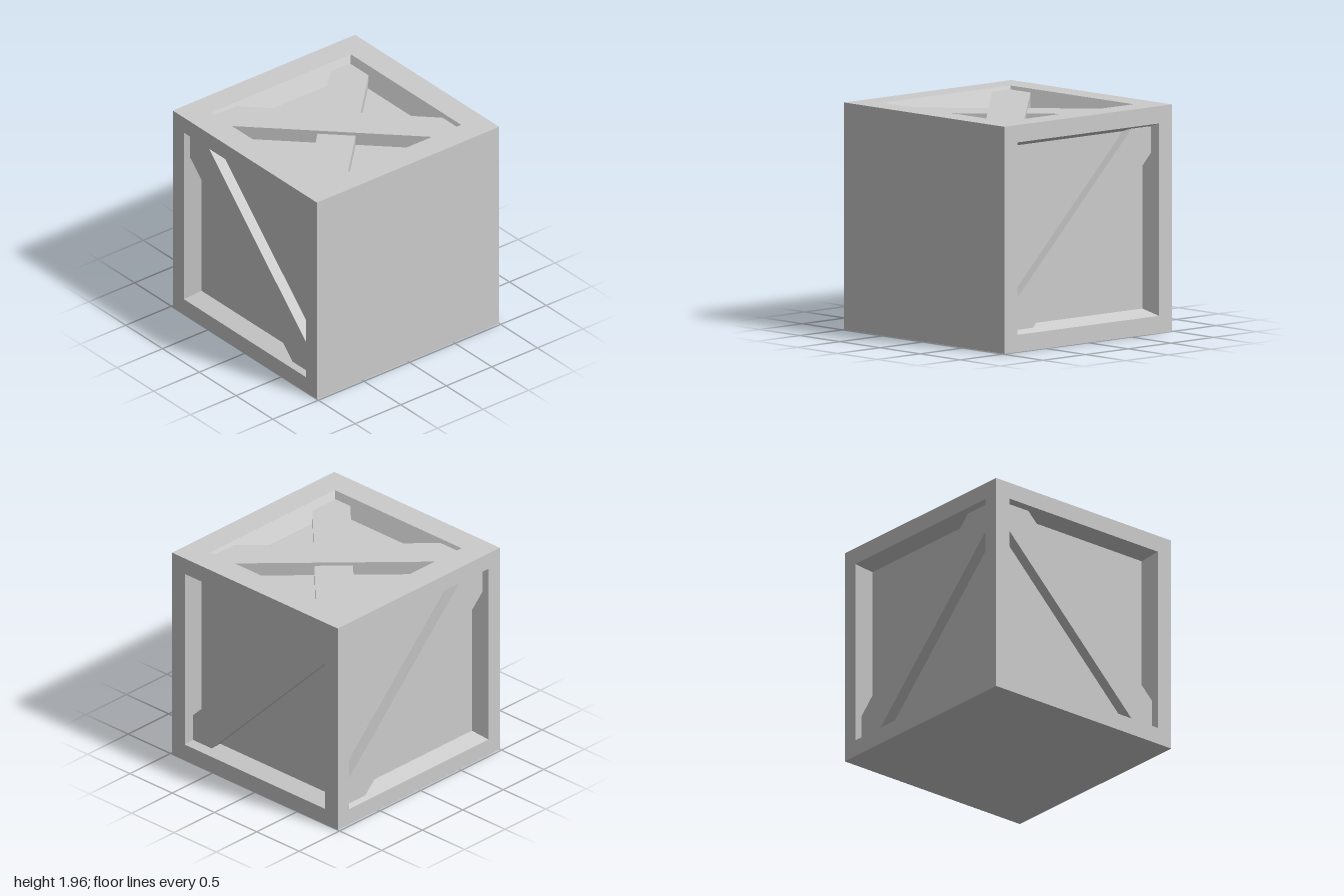
import * as THREE from 'three';

const W = 2, H = 1.96, D = 1.96, DEPTH = 0.15;
const material = new THREE.MeshStandardMaterial({ color: 0xcccccc, flatShading: true });

function addMesh(group, name, geometry) {
  const mesh = new THREE.Mesh(geometry, material);
  mesh.name = name;
  group.add(mesh);
  return mesh;
}

const polygon = (points) => points.map(([x, y]) => new THREE.Vector2(x, y));

// Rectangle corners, counter-clockwise
const rect = (hw, hh) => polygon([[-hw, -hh], [hw, -hh], [hw, hh], [-hw, hh]]);

// Sloped walls joining the rim loop to the recess floor loop
function slopedWalls(rim, floor) {
  const pos = [];
  for (let i = 0; i < 4; i++) {
    const j = (i + 1) % 4;
    const a = [rim[i].x, rim[i].y, 0], b = [rim[j].x, rim[j].y, 0];
    const c = [floor[j].x, floor[j].y, -DEPTH], d = [floor[i].x, floor[i].y, -DEPTH];
    pos.push(...a, ...b, ...c, ...a, ...c, ...d);
  }
  const g = new THREE.BufferGeometry();
  g.setAttribute('position', new THREE.Float32BufferAttribute(pos, 3));
  g.computeVertexNormals();
  return g;
}

// One crate face: flat border, sloped recess, and braces; local +z points outward
function recessedFace(name, width, height, hw, hh, taper, braces) {
  const group = new THREE.Group();
  group.name = name;
  const rim = rect(hw, hh), floor = rect(hw - taper, hh - taper);
  const border = new THREE.Shape(rect(width / 2, height / 2));
  border.holes.push(new THREE.Path(rim.slice().reverse()));
  addMesh(group, 'border', new THREE.ShapeGeometry(border));
  addMesh(group, 'recessWalls', slopedWalls(rim, floor));
  addMesh(group, 'recessPanel', new THREE.ShapeGeometry(new THREE.Shape(floor))).position.z = -DEPTH;
  for (const { sunk, points } of braces) {
    const brace = new THREE.ExtrudeGeometry(new THREE.Shape(polygon(points)),
      { depth: DEPTH - sunk, bevelEnabled: false });
    addMesh(group, 'diagonalBrace', brace).position.z = -DEPTH;
  }
  return group;
}

export function createModel() {
  const crate = new THREE.Group();
  crate.name = 'crate';

  // Side faces, each with one diagonal brace rising toward the back
  const sideBrace = [[-0.8, -0.8], [-0.58, -0.8], [0.8, 0.57], [0.8, 0.8], [0.57, 0.8], [-0.8, -0.56]];
  const left = recessedFace('leftSide', D, H, 0.83, 0.83, 0.053, [{ sunk: 0.07, points: sideBrace }]);
  left.rotation.y = Math.PI / 2;
  left.position.set(W / 2, H / 2, 0);

  const mirrored = sideBrace.map(([x, y]) => [-x * 1.01, y * 1.01]);
  const right = recessedFace('rightSide', D, H, 0.83, 0.83, 0.053, [{ sunk: 0.05, points: mirrored }]);
  right.rotation.y = -Math.PI / 2;
  right.position.set(-W / 2, H / 2, 0);

  // Back face
  const back = recessedFace('back', W, H, 0.86, 0.83, 0.05, [{
    sunk: 0.05,
    points: [[-0.84, -0.815], [-0.61, -0.815], [0.84, 0.6], [0.84, 0.815], [0.57, 0.815], [-0.84, -0.6]],
  }]);
  back.rotation.y = Math.PI;
  back.position.set(0, H / 2, -D / 2);

  // Top face with two crossed braces, one resting higher than the other
  const top = recessedFace('top', W, D, 0.768, 0.75, 0.084, [
    { sunk: 0.03, points: [[-0.755, 0.735], [-0.755, 0.52], [0.5, -0.73], [0.75, -0.73], [0.75, -0.52], [-0.5, 0.735]] },
    { sunk: 0.06, points: [[0.73, 0.72], [0.52, 0.72], [-0.74, -0.54], [-0.74, -0.71], [-0.45, -0.71], [0.73, 0.46]] },
  ]);
  top.rotation.x = -Math.PI / 2;
  top.position.set(0, H, 0);

  crate.add(left, right, back, top);

  // Plain front and bottom
  addMesh(crate, 'front', new THREE.PlaneGeometry(W, H)).position.set(0, H / 2, D / 2);
  addMesh(crate, 'bottom', new THREE.PlaneGeometry(W, D)).rotation.x = Math.PI / 2;

  return crate;
}
